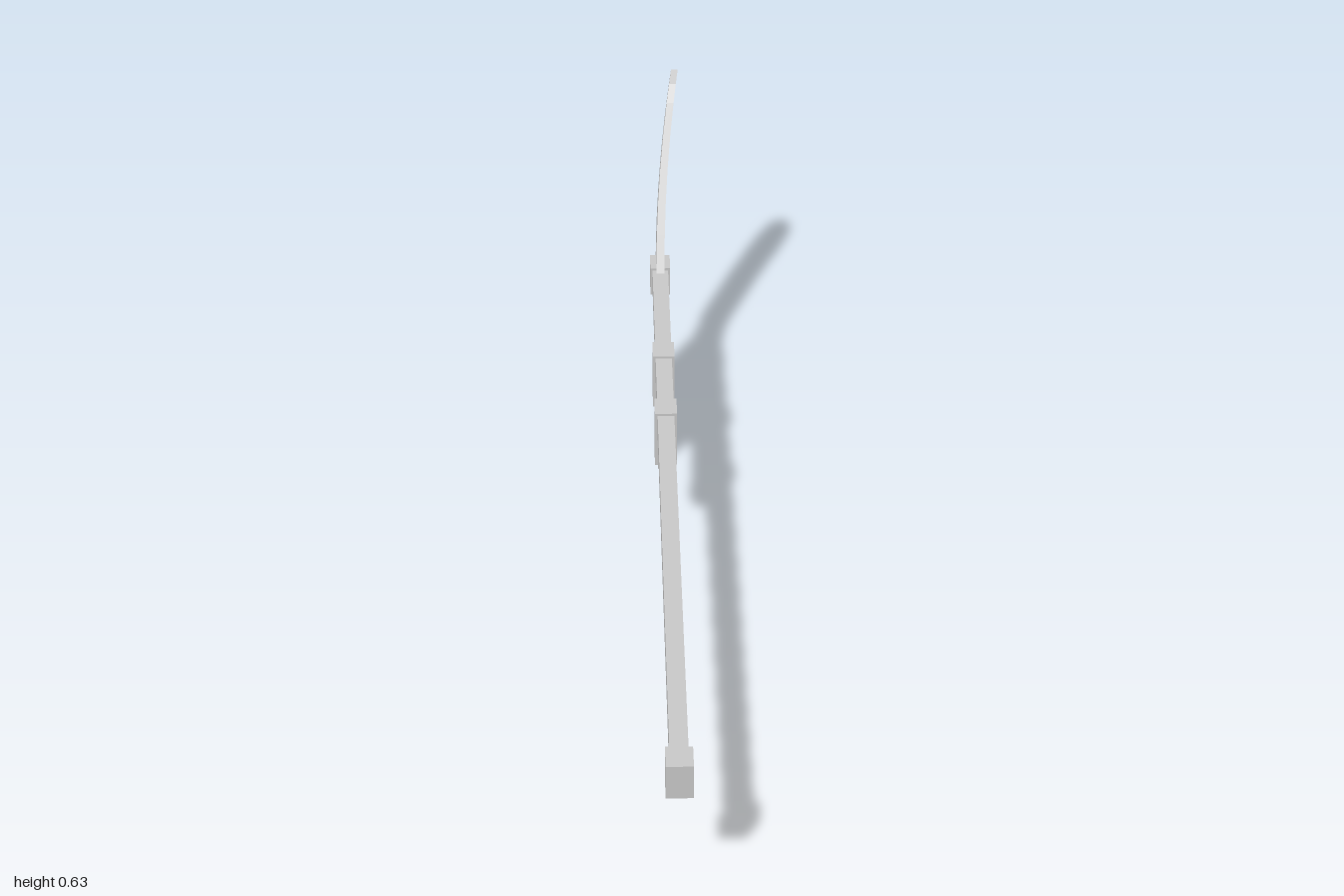
import * as THREE from 'three';

const CX = -0.01; // centre plane of the shaft

// Flat-shaded skin over a list of convex rings, with both ends capped.
function loft(rings) {
  const pos = [];
  const tri = (...pts) => pts.forEach((p) => pos.push(...p));
  const n = rings[0].length;
  for (let i = 0; i < rings.length - 1; i++) {
    const r = rings[i], q = rings[i + 1];
    for (let j = 0; j < n; j++) {
      const k = (j + 1) % n;
      tri(r[j], r[k], q[k]);
      tri(r[j], q[k], q[j]);
    }
  }
  const first = rings[0], last = rings[rings.length - 1];
  for (let j = 1; j < n - 1; j++) {
    tri(first[0], first[j + 1], first[j]);
    tri(last[0], last[j], last[j + 1]);
  }
  const geo = new THREE.BufferGeometry();
  geo.setAttribute('position', new THREE.Float32BufferAttribute(pos, 3));
  geo.computeVertexNormals();
  return geo;
}

export function createModel() {
  const group = new THREE.Group();
  const grey = new THREE.MeshStandardMaterial({ color: 0xcccccc });
  grey.name = 'grey';

  const add = (name, geo) => {
    const mesh = new THREE.Mesh(geo, grey);
    mesh.name = name;
    group.add(mesh);
    return mesh;
  };
  // Box on the centre plane: width, then y and z ranges
  const bar = (name, w, y0, y1, z0, z1) =>
    add(name, new THREE.BoxGeometry(w, y1 - y0, z1 - z0))
      .position.set(CX, (y0 + y1) / 2, (z0 + z1) / 2);

  // Shaft, pommel and lower handle
  bar('shaft', 0.033, 0.232, 0.285, -0.755, 0.99);
  bar('endCap', 0.048, 0.223, 0.291, 0.945, 1);
  bar('lowerHandle', 0.032, 0.175, 0.233, -0.4, -0.095);

  // Straps binding the pieces together
  bar('frontBand', 0.044, 0.17, 0.29, -0.172, -0.115);
  bar('middleBand', 0.044, 0.17, 0.29, -0.39, -0.333);
  bar('rearBand', 0.042, 0.226, 0.29, -0.75, -0.693);
  bar('rearStrap', 0.026, 0.18, 0.235, -0.735, -0.697);

  // Broad blade below: [z, bevel height, cutting edge height]
  const t = 0.0085;
  const blade = [
    [-0.39, 0.04, 0.017], [-0.45, 0.047, 0.009], [-0.53, 0.051, 0.004],
    [-0.61, 0.051, 0.002], [-0.68, 0.046, 0.003], [-0.75, 0.036, 0.013],
  ].map(([z, bevel, edge]) => [
    [CX - t, 0.24, z], [CX + t, 0.24, z], [CX + t, bevel, z], [CX, edge, z], [CX - t, bevel, z],
  ]);
  add('broadBlade', loft(blade));

  // Raised blade: stations of [along, across] for its front and back edges
  const stations = [];
  for (let i = 0; i <= 6; i++) {
    const u = i / 6;
    stations.push([[-0.035 + 0.418 * u, 0.061], [0.044 + 0.329 * u, -0.068 - 0.006 * u]]);
  }
  stations.push([[0.424, 0.052], [0.43, -0.062]], [[0.457, 0.025], [0.461, -0.0255]]);

  // The blade leans back and bends gently toward +x along its length
  const place = ([s, w], side) => {
    const bend = 0.036 * (Math.max(s, 0) / 0.46) ** 2;
    const half = 0.0088 - 0.004 * Math.max(s, 0);
    return [CX + bend + side * half, 0.233 + 0.85 * s + 0.53 * w, -0.72 - 0.53 * s + 0.85 * w];
  };
  add('raisedBlade', loft(stations.map(([front, back]) => [
    place(front, -1), place(front, 1), place(back, 1), place(back, -1),
  ])));

  return group;
}
